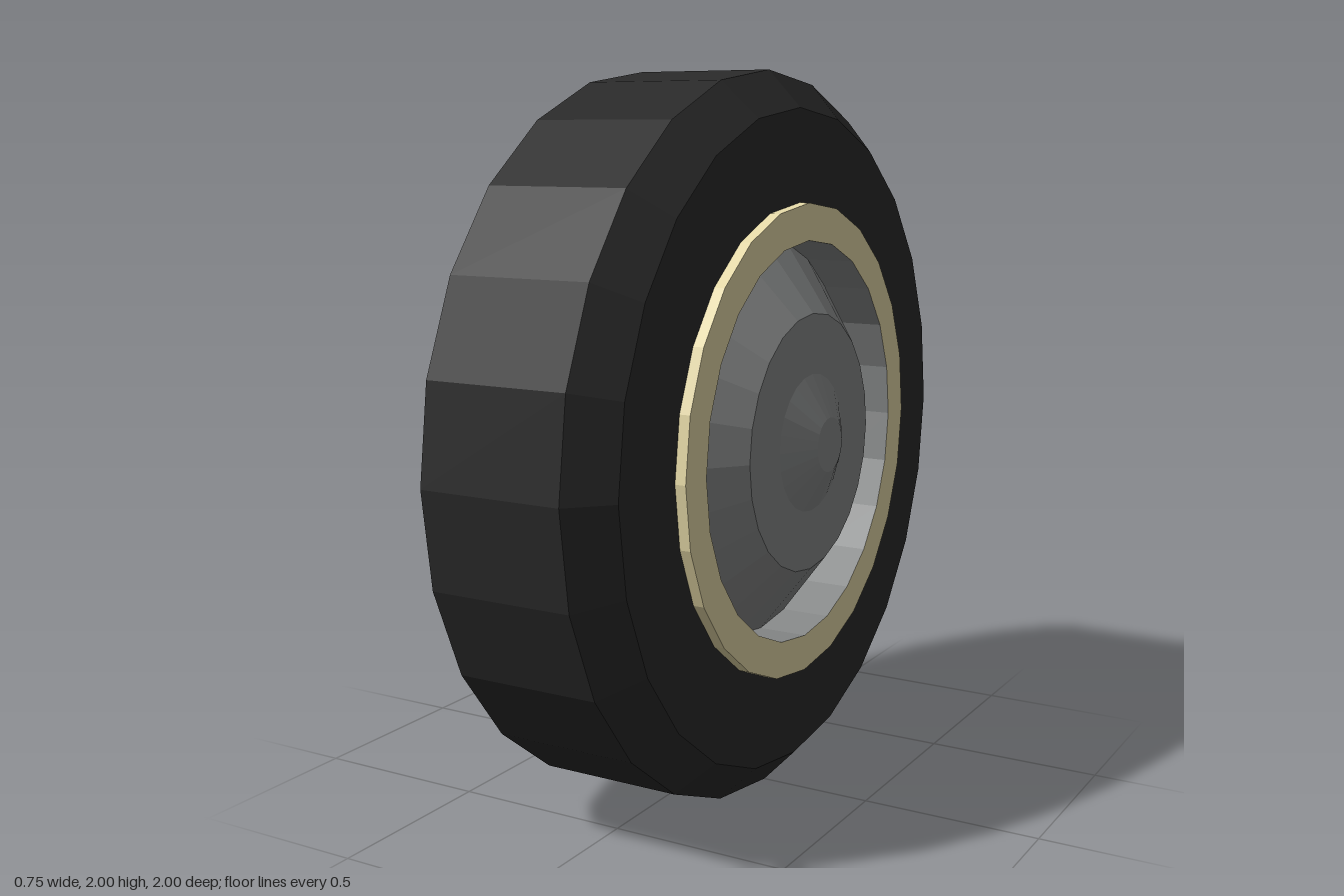
import * as THREE from 'three';

const SIDES = 24;

// Revolve a profile of [radius, x] points (listed from back to front) about the x axis.
function turned(name, color, profile) {
  const points = profile.map(([r, x]) => new THREE.Vector2(r, x));
  const geometry = new THREE.LatheGeometry(points, SIDES);
  geometry.rotateZ(-Math.PI / 2);
  const material = new THREE.MeshStandardMaterial({ color, flatShading: true });
  const mesh = new THREE.Mesh(geometry, material);
  mesh.name = name;
  return mesh;
}

export function createModel() {
  const wheel = new THREE.Group();
  wheel.name = 'wheel';

  const rubber = 0x2a2a2a;
  const cream = 0xe6daa8;
  const metal = 0x888a8a;

  // Tapered hub standing in the recess on the inner side
  wheel.add(turned('backHub', rubber, [
    [0, -0.38], [0.28, -0.38], [0.45, -0.155], [0.65, -0.155],
  ]));

  // Tyre: recess wall, back face, chamfered tread, front face
  wheel.add(turned('tyre', rubber, [
    [0.65, -0.155], [0.65, -0.295], [0.89, -0.295], [1, -0.22],
    [1, 0.18], [0.9, 0.275], [0.65, 0.275],
  ]));

  // Raised pale band around the rim
  wheel.add(turned('rimBand', cream, [
    [0.65, 0.275], [0.65, 0.305], [0.55, 0.305],
  ]));

  // Rim well and the sloping dish that rises to a flat disc
  wheel.add(turned('rimDish', metal, [
    [0.55, 0.305], [0.55, 0.165], [0.355, 0.32], [0.19, 0.32],
  ]));

  // Small tapered cap in the middle
  wheel.add(turned('hubCap', metal, [
    [0.19, 0.32], [0.075, 0.375], [0, 0.375],
  ]));

  wheel.position.y = 1;
  const model = new THREE.Group();
  model.name = 'model';
  model.add(wheel);
  return model;
}
